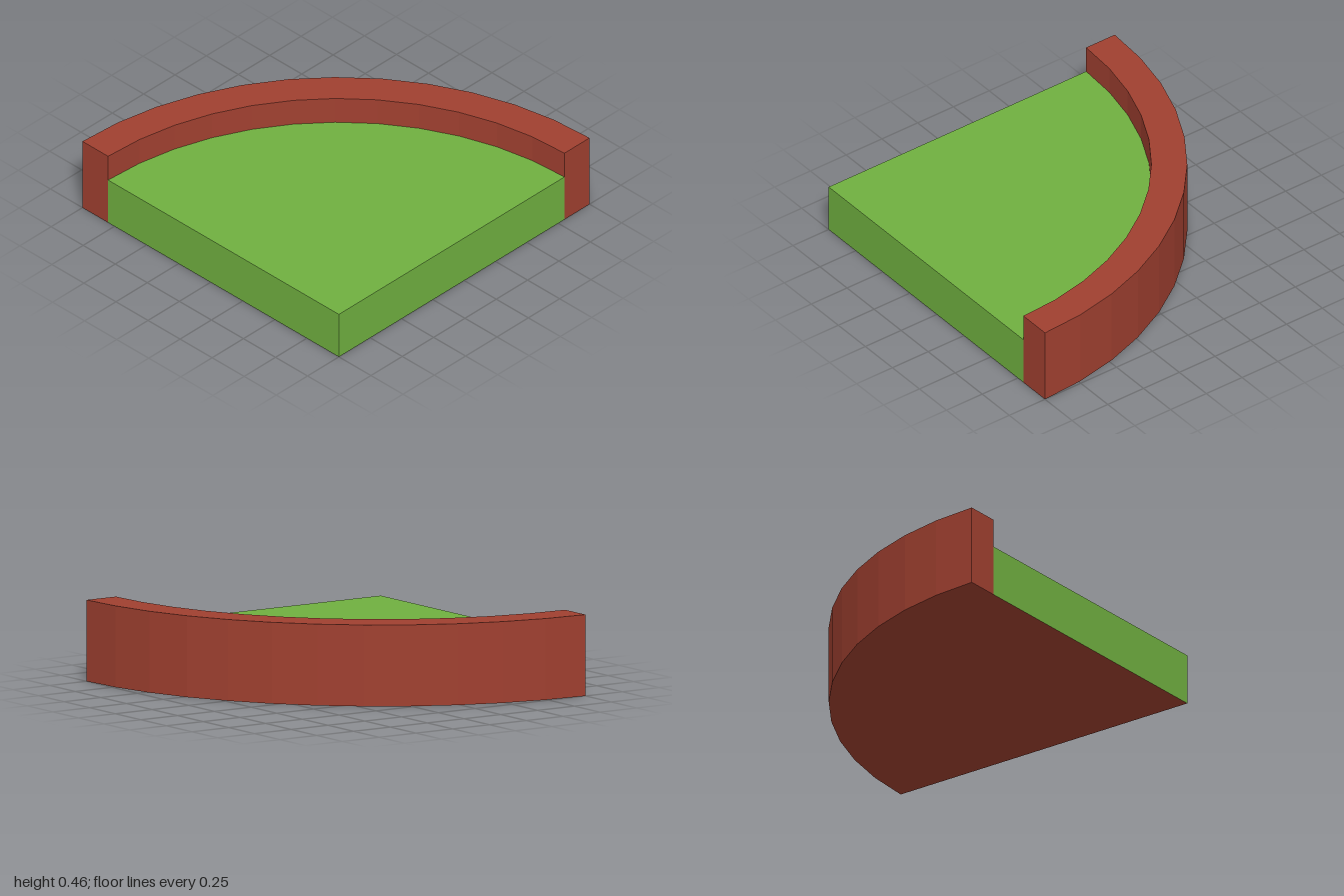
import * as THREE from 'three';

const SEGMENTS = 12, OUTER = 2, INNER = 1.8, RIM_H = 0.46, LAWN_H = 0.295;

const brick = new THREE.MeshStandardMaterial({ color: 0xa04030, flatShading: true });
const grass = new THREE.MeshStandardMaterial({ color: 0x70b040, flatShading: true });

export function createModel() {
  const model = new THREE.Group();
  model.name = 'quarterRoundLawn';

  // The arc's centre is the front left corner, (1, 0, 1)
  const sector = new THREE.Group();
  sector.name = 'sector';
  sector.position.set(1, 0, 1);
  model.add(sector);

  const add = (name, geometry, material) => {
    const mesh = new THREE.Mesh(geometry, material);
    mesh.name = name;
    sector.add(mesh);
  };

  // Flat cut faces from radius r0 to r1: one on the front, one on the left side
  const addCutFaces = (name, r0, r1, height, material) => {
    const width = r1 - r0, middle = (r0 + r1) / 2;
    add(name + 'Front', new THREE.PlaneGeometry(width, height).translate(-middle, height / 2, 0), material);
    add(name + 'Left', new THREE.PlaneGeometry(width, height).rotateY(Math.PI / 2).translate(0, height / 2, -middle), material);
  };

  // Curved kerb: outer wall, top and the inner wall above the lawn
  const profile = [[OUTER, 0], [OUTER, RIM_H], [INNER, RIM_H], [INNER, LAWN_H]]
    .map(([r, y]) => new THREE.Vector2(r, y));
  add('kerb', new THREE.LatheGeometry(profile, SEGMENTS, Math.PI, Math.PI / 2), brick);
  addCutFaces('kerbEnd', INNER, OUTER, RIM_H, brick);

  // Underside
  add('base', new THREE.CircleGeometry(OUTER, SEGMENTS, Math.PI, Math.PI / 2).rotateX(Math.PI / 2), brick);

  // Lawn: top and its two straight sides
  add('lawnTop', new THREE.CircleGeometry(INNER, SEGMENTS, Math.PI / 2, Math.PI / 2)
    .rotateX(-Math.PI / 2).translate(0, LAWN_H, 0), grass);
  addCutFaces('lawnSide', 0, INNER, LAWN_H, grass);

  return model;
}
